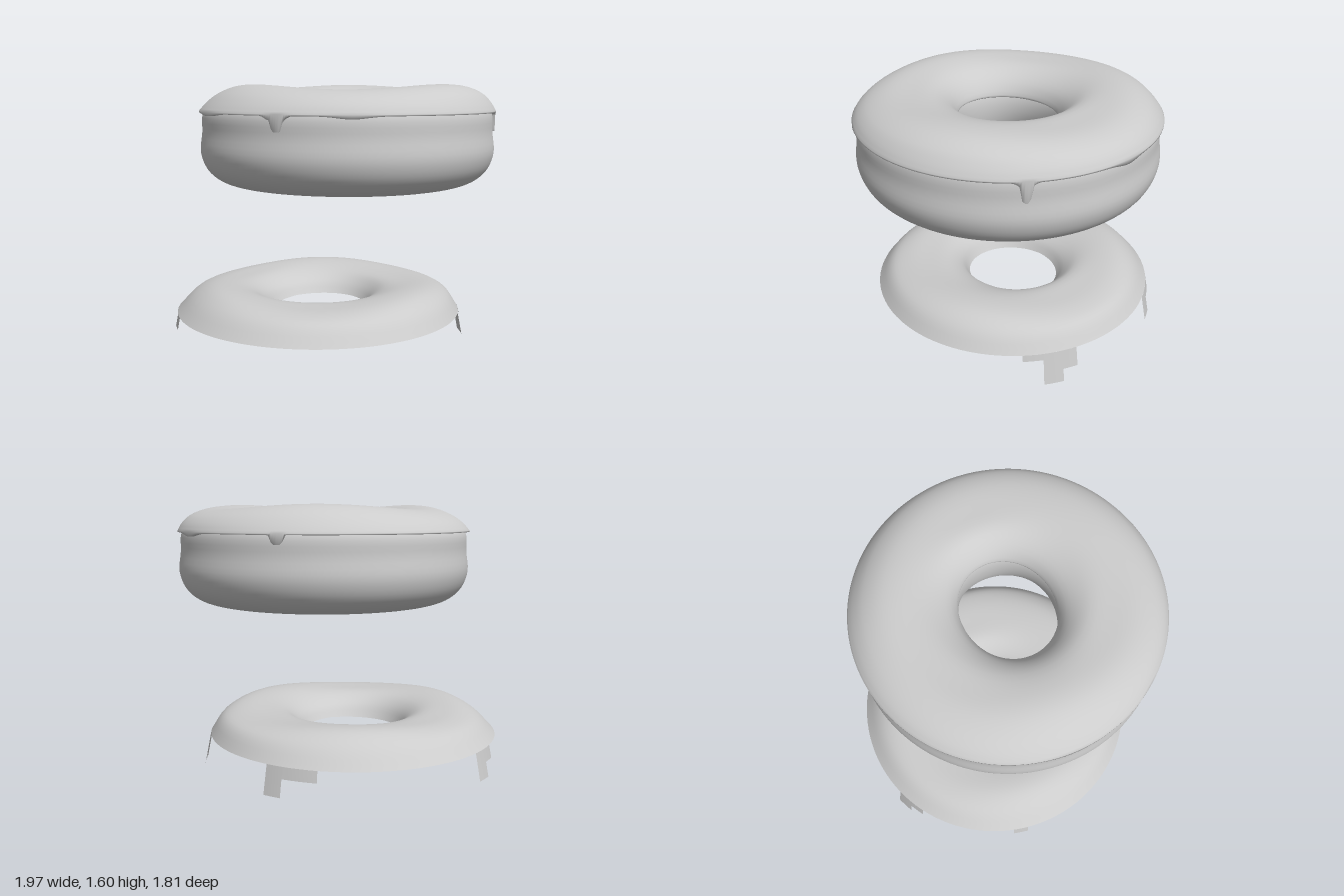
import * as THREE from 'three';

const TAU = Math.PI * 2;
const v = (r, y) => new THREE.Vector3(r, y, 0);

// Smooth a few (r, y) points into a finer section
const smooth = (pts, n, closed = false) => {
  const out = new THREE.CatmullRomCurve3(pts.map(p => v(...p)), closed, 'centripetal').getPoints(n);
  if (closed) out.pop();
  return out;
};

// Sweep a section that varies with the angle around the y axis
function ring(section, segs, closed) {
  const pos = [], idx = [];
  let n = 0;
  for (let i = 0; i < segs; i++) {
    const a = i / segs * TAU, pts = section(a);
    n = pts.length;
    for (const p of pts) pos.push(p.x * Math.cos(a), p.y, p.x * Math.sin(a));
  }
  for (let i = 0; i < segs; i++) {
    for (let j = 0; j < (closed ? n : n - 1); j++) {
      const i2 = (i + 1) % segs, j2 = (j + 1) % n;
      const p = i * n + j, q = i2 * n + j, r = i2 * n + j2, s = i * n + j2;
      idx.push(p, q, r, p, r, s);
    }
  }
  const g = new THREE.BufferGeometry();
  g.setAttribute('position', new THREE.Float32BufferAttribute(pos, 3));
  g.setIndex(idx);
  g.computeVertexNormals();
  return g;
}

// Uneven hand-made shape: hole outline, crest height, shoulder width
const hole = a => 0.288 + 0.018 * Math.cos(2 * (a + 0.9));
const crest = a => 0.013 * Math.cos(3 * (a - 0.3));
const shoulder = a => 0.022 * Math.cos(a);

const angleTo = (a, b) => Math.atan2(Math.sin(a - b), Math.cos(a - b));
const bump = (a, centre, half, power) => Math.exp(-Math.pow(Math.abs(angleTo(a, centre)) / half, power));

// Lower edge of the icing on the ring, with runny drips: angle, half width, depth, sharpness
const runs = [
  [1.755, 0.035, 0.06, 6], [1.76, 0.075, 0.025, 4],
  [-0.17, 0.032, 0.095, 6], [-0.17, 0.06, 0.02, 4],
  [-1.57, 0.04, 0.05, 6], [2.4, 0.14, 0.015, 2],
  [1.3, 0.12, 0.015, 2], [-0.83, 0.1, 0.02, 2],
];
const rimY = a => runs.reduce((y, [c, w, d, p]) => y - d * bump(a, c, w, p), 1.437);

const bodySection = a => {
  const h = hole(a), c = crest(a), s = shoulder(a);
  return smooth([
    [h + 0.005, 1.28], [h + 0.02, 1.42], [0.43, 1.54], [0.58, 1.565 + c], [0.7 + s, 1.55 + c],
    [0.81 + s / 2, 1.5], [0.87, 1.43], [0.877, 1.32], [0.888, 1.2], [0.852, 1.1], [0.78, 1.035],
    [0.67, 1.0], [0.55, 1.0], [0.44, 1.04], [0.35, 1.13],
  ], 60, true);
};

const icingSection = a => {
  const h = hole(a), c = crest(a), s = shoulder(a), y = rimY(a);
  const pts = smooth([
    [h + 0.012, 1.4], [h, 1.41], [h + 0.04, 1.49], [0.43, 1.56], [0.57, 1.583 + c],
    [0.7 + s, 1.578 + c], [0.8 + s * 0.8, 1.54 + c / 2], [0.86 + s / 3, 1.49], [0.893, 1.445],
  ], 28);
  pts.push(v(0.893, y), v(0.868, y));
  return pts;
};

const sheetSection = a => {
  const h = hole(a), c = crest(a), s = shoulder(a);
  return smooth([
    [h, 0.2 - 0.02 * Math.max(0, Math.cos(a - 2.3))], [h + 0.05, 0.27], [0.43, 0.33], [0.57, 0.353 + c],
    [0.7 + s, 0.348 + c], [0.8 + s * 0.8, 0.305], [0.89, 0.2],
  ], 24);
};

// Square-cut drip hanging from the sheet rim, leaning outward
function drip(a0, a1, bottom) {
  const pos = [], idx = [], n = 6;
  for (let i = 0; i <= n; i++) {
    const a = a0 + (a1 - a0) * i / n;
    for (const [r, y] of [[0.89, 0.2], [0.89 + (0.2 - bottom) * 0.2, bottom]]) {
      pos.push(r * Math.cos(a), y, r * Math.sin(a));
    }
    if (i < n) {
      const k = i * 2;
      idx.push(k, k + 2, k + 1, k + 2, k + 3, k + 1);
    }
  }
  const g = new THREE.BufferGeometry();
  g.setAttribute('position', new THREE.Float32BufferAttribute(pos, 3));
  g.setIndex(idx);
  g.computeVertexNormals();
  return g;
}

export function createModel() {
  const model = new THREE.Group();
  const solid = new THREE.MeshStandardMaterial({ color: 0xcccccc });
  const thin = new THREE.MeshStandardMaterial({ color: 0xcccccc, side: THREE.DoubleSide });
  const add = (parent, name, geometry, material) => {
    const m = new THREE.Mesh(geometry, material);
    m.name = name;
    parent.add(m);
  };

  // Raised ring with icing
  const doughnut = new THREE.Group();
  doughnut.name = 'doughnut';
  doughnut.position.set(0.1, 0, 0.03);
  add(doughnut, 'dough', ring(bodySection, 128, true), solid);
  add(doughnut, 'icing', ring(icingSection, 384, false), thin);

  // Loose icing sheet below, with stepped drips
  const sheet = new THREE.Group();
  sheet.name = 'looseIcing';
  sheet.position.set(-0.09, 0, 0.015);
  add(sheet, 'icingSheet', ring(sheetSection, 128, false), thin);
  const B = Math.PI, D = -Math.PI / 2;
  const drips = [
    [2.525, 2.63, 0.13],
    [B + 0.198, B + 0.302, 0.125], [B + 0.302, B + 0.42, 0.04],
    [-0.267, -0.13, 0.16], [-0.399, -0.267, 0], [-0.5, -0.399, 0.08],
    [D - 0.034, D + 0.192, 0.135], [D + 0.192, D + 0.308, 0.035],
  ];
  for (const d of drips) add(sheet, 'icingDrip', drip(...d), thin);

  model.add(doughnut, sheet);
  return model;
}
